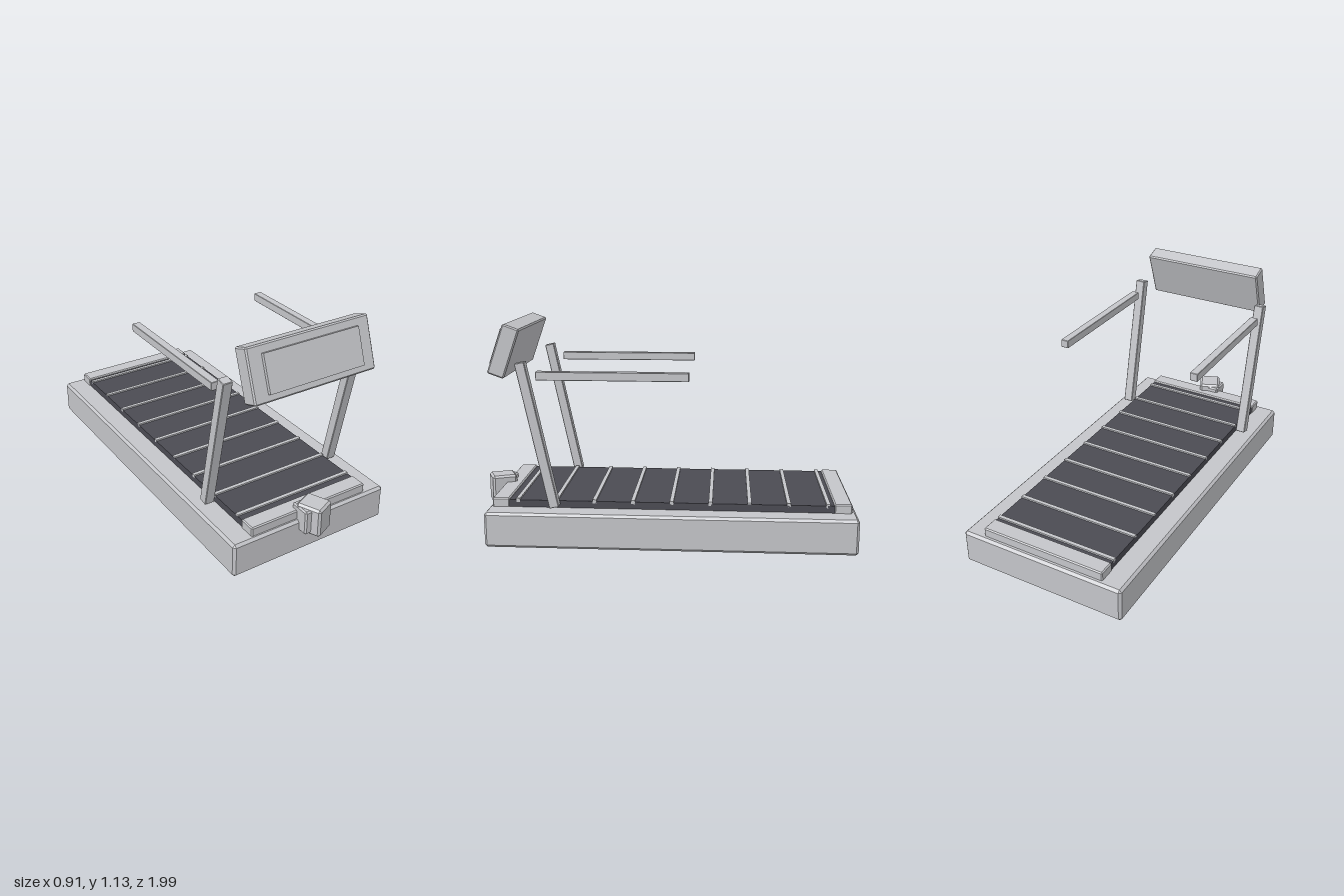
import * as THREE from 'three';
import { ConvexGeometry } from 'three/addons/geometries/ConvexGeometry.js';

// Box with flat chamfers on every edge
function chamferBox(w, h, d, c) {
  const points = [];
  for (const sx of [-1, 1]) for (const sy of [-1, 1]) for (const sz of [-1, 1]) {
    const x = w / 2, y = h / 2, z = d / 2;
    points.push(
      new THREE.Vector3(sx * x, sy * (y - c), sz * (z - c)),
      new THREE.Vector3(sx * (x - c), sy * y, sz * (z - c)),
      new THREE.Vector3(sx * (x - c), sy * (y - c), sz * z)
    );
  }
  return new ConvexGeometry(points);
}

export function createModel() {
  const model = new THREE.Group();
  model.name = 'treadmill';
  const grey = new THREE.MeshStandardMaterial({ color: 0xc4c5c9 });
  grey.name = 'light grey';
  const dark = new THREE.MeshStandardMaterial({ color: 0x4b4b53 });
  dark.name = 'dark belt grey';

  function add(name, geometry, x, y, z, material = grey, parent = model) {
    const mesh = new THREE.Mesh(geometry, material);
    mesh.name = name;
    mesh.position.set(x, y, z);
    parent.add(mesh);
    return mesh;
  }

  // Deck, belt and end covers
  add('base', chamferBox(0.914, 0.185, 1.9, 0.013), 0, 0.0925, -0.045);
  add('belt', new THREE.BoxGeometry(0.68, 0.045, 1.74), 0, 0.2, -0.05, dark);
  for (const [name, z] of [['frontCover', 0.84], ['backCover', -0.925]]) {
    add(name, chamferBox(0.688, 0.055, 0.09, 0.006), 0, 0.2045, z);
  }

  // Raised ribs across the belt
  for (let i = 0; i < 9; i++) {
    add('beltRib', new THREE.BoxGeometry(0.68, 0.02, 0.02), 0, 0.221, 0.75 - i * 0.2);
  }

  // Leaning uprights and level handrails
  for (const side of [-1, 1]) {
    const upright = add('upright', chamferBox(0.053, 0.762, 0.05, 0.003), side * 0.382, 0.577, 0.627);
    upright.rotation.x = 0.208;
    add('handrail', chamferBox(0.043, 0.043, 0.765, 0.002), side * 0.383, 0.884, 0.243);
  }

  // Tilted console with its raised display panel
  const console = new THREE.Group();
  console.name = 'console';
  console.position.set(0, 0.997, 0.801);
  console.rotation.x = -0.34;
  model.add(console);
  add('consoleBody', chamferBox(0.688, 0.265, 0.09, 0.007), 0, 0, 0, grey, console);
  add('displayPanel', new THREE.BoxGeometry(0.535, 0.187, 0.03), 0, -0.003, 0.0475, grey, console);

  // Turned motor housing with a small side block
  const motor = add('motorHousing', chamferBox(0.12, 0.155, 0.134, 0.011), 0, 0.193, 0.912);
  motor.rotation.y = 0.42;
  add('motorSideBlock', chamferBox(0.08, 0.132, 0.11, 0.008), -0.04, 0.193, 0.9);

  return model;
}
